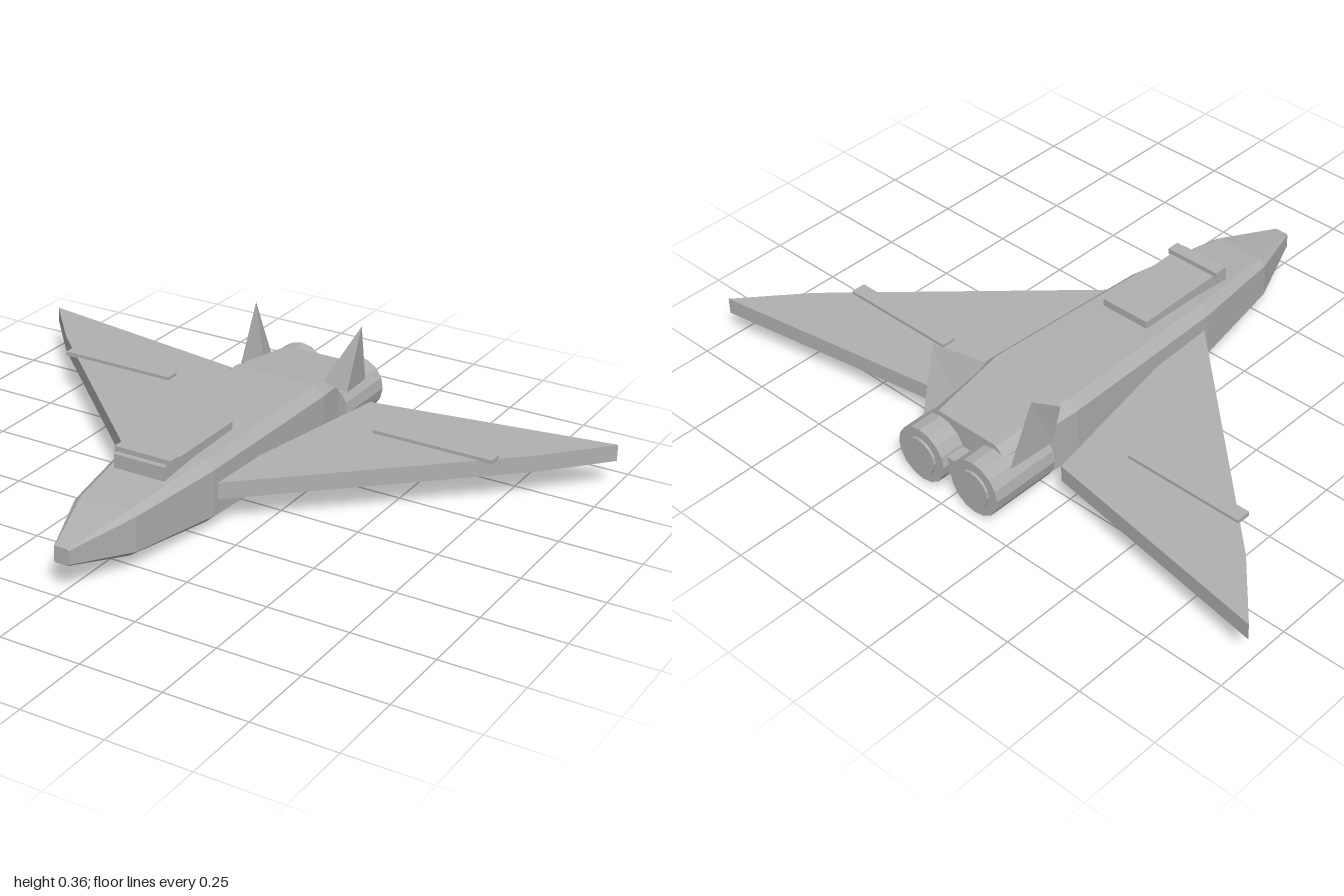
import * as THREE from 'three';
import { ConvexGeometry } from 'three/addons/geometries/ConvexGeometry.js';

const hullGrey = new THREE.MeshStandardMaterial({ color: 0xb0b0b0, flatShading: true });
hullGrey.name = 'hullGrey';

function add(parent, name, geometry, x = 0, y = 0, z = 0) {
  const mesh = new THREE.Mesh(geometry, hullGrey);
  mesh.name = name;
  mesh.position.set(x, y, z);
  parent.add(mesh);
  return mesh;
}

// Box given by its limits on each axis
function addBox(parent, name, [x0, x1], [y0, y1], [z0, z1]) {
  return add(parent, name, new THREE.BoxGeometry(x1 - x0, y1 - y0, z1 - z0),
    (x0 + x1) / 2, (y0 + y1) / 2, (z0 + z1) / 2);
}

// Chamfered eight-sided sections joined from nose to tail
function fuselageGeometry() {
  // z, outer half width, flat half width, bottom, lower edge, upper edge, top
  const sections = [
    [0.725, 0.024, 0.02, 0.09, 0.094, 0.136, 0.14],
    [0.52, 0.1, 0.078, 0.045, 0.062, 0.168, 0.185],
    [0.2, 0.148, 0.118, 0.018, 0.045, 0.188, 0.215],
    [-0.38, 0.17, 0.14, 0.004, 0.03, 0.2, 0.228],
    [-0.64, 0.14, 0.11, 0.025, 0.048, 0.18, 0.206],
  ];
  const rings = sections.map(([z, w, f, y0, y1, y2, y3]) => [
    [w, y1], [w, y2], [f, y3], [-f, y3], [-w, y2], [-w, y1], [-f, y0], [f, y0],
  ].map(([x, y]) => [x, y, z]));
  const out = [];
  const tri = (a, b, c) => out.push(...a, ...b, ...c);
  for (let i = 0; i < rings.length - 1; i++) {
    for (let j = 0; j < 8; j++) {
      const k = (j + 1) % 8, a = rings[i], b = rings[i + 1];
      tri(a[j], b[j], b[k]);
      tri(a[j], b[k], a[k]);
    }
  }
  const nose = rings[0], tail = rings[rings.length - 1];
  for (let j = 1; j < 7; j++) {
    tri(nose[0], nose[j], nose[j + 1]);
    tri(tail[0], tail[j + 1], tail[j]);
  }
  const geometry = new THREE.BufferGeometry();
  geometry.setAttribute('position', new THREE.Float32BufferAttribute(out, 3));
  geometry.computeVertexNormals();
  return geometry;
}

// Flat swept wing, cut from its plan outline
function wingGeometry(s) {
  const plan = [[0.115, 0.195], [0.14, 0.19], [0.835, -0.46], [1, -0.648], [0.247, -0.53]];
  const shape = new THREE.Shape(plan.map(([x, z]) => new THREE.Vector2(s * x, -z)));
  const geometry = new THREE.ExtrudeGeometry(shape, { depth: 0.052, bevelEnabled: false });
  geometry.rotateX(-Math.PI / 2);
  return geometry;
}

// Thin pyramid fin leaning outward
function finGeometry(s) {
  return new ConvexGeometry([
    [0.143, 0.225, -0.42], [0.185, 0.17, -0.495], [0.167, 0.157, -0.645],
    [0.14, 0.17, -0.55], [0.186, 0.36, -0.575],
  ].map(([x, y, z]) => new THREE.Vector3(s * x, y, z)));
}

export function createModel() {
  const model = new THREE.Group();
  model.name = 'spacecraft';

  add(model, 'fuselage', fuselageGeometry());

  // Raised cockpit and its front bar
  addBox(model, 'cockpit', [-0.083, 0.083], [0.18, 0.243], [0, 0.355]);
  addBox(model, 'cockpitBar', [-0.093, 0.093], [0.24, 0.258], [0.297, 0.337]);

  // Block between the engines
  addBox(model, 'tailBlock', [-0.018, 0.018], [0.07, 0.13], [-0.7, -0.63]);

  for (const s of [1, -1]) {
    const side = new THREE.Group();
    side.name = s > 0 ? 'leftSide' : 'rightSide';
    model.add(side);

    add(side, 'wing', wingGeometry(s), 0, 0.09, 0);
    const strip = addBox(side, 'wingStrip', [0.358, 0.745], [0.138, 0.152], [-0.384, -0.338]);
    strip.position.x *= s;
    add(side, 'tailFin', finGeometry(s));

    // Engine casing with a slightly proud nozzle disc
    const casing = new THREE.CylinderGeometry(0.088, 0.088, 0.225, 16).rotateX(Math.PI / 2);
    add(side, 'engine', casing, s * 0.102, 0.103, -0.6075);
    const disc = new THREE.CylinderGeometry(0.058, 0.058, 0.03, 16).rotateX(Math.PI / 2);
    add(side, 'nozzle', disc, s * 0.102, 0.103, -0.713);
  }
  return model;
}
